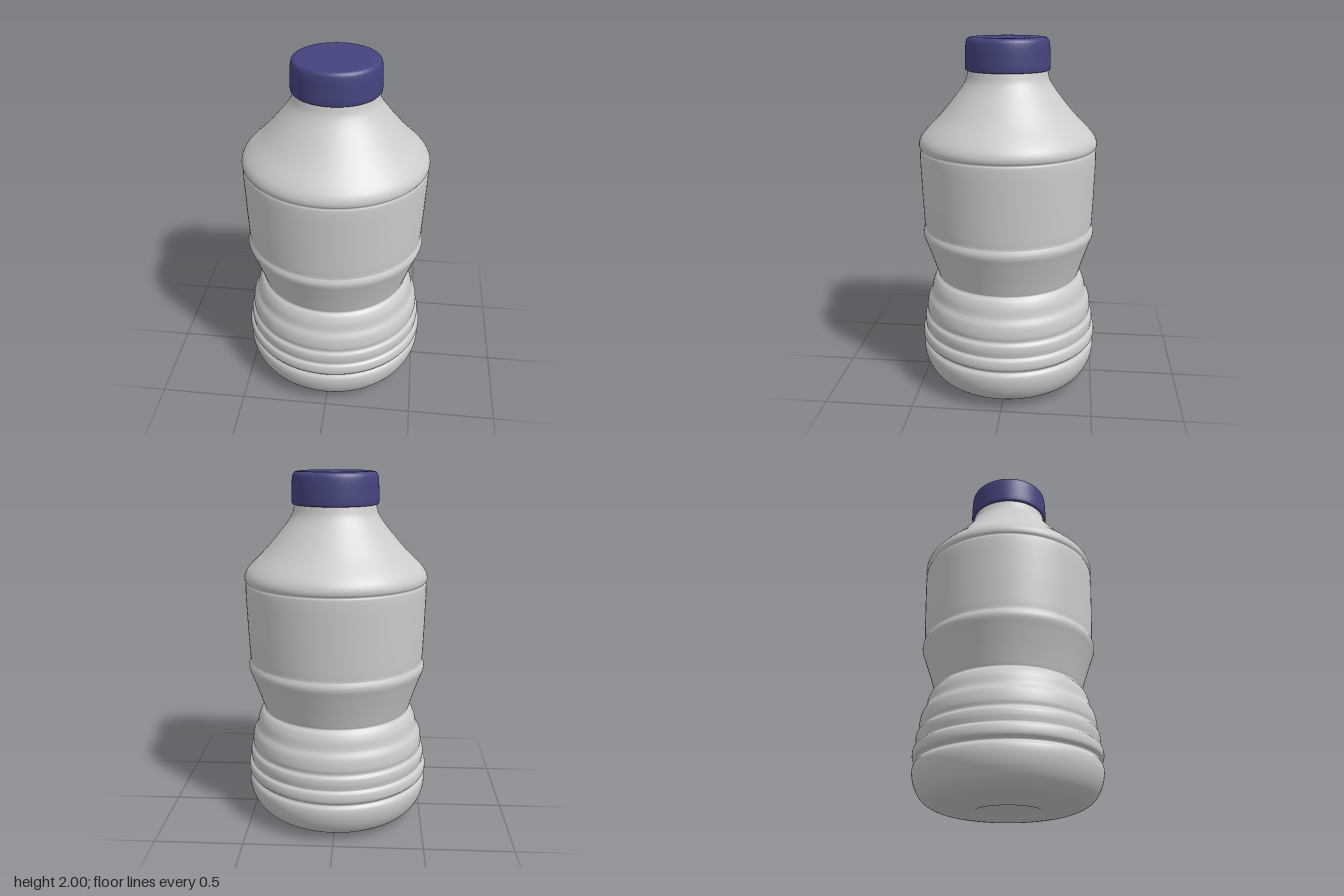
import * as THREE from 'three';

const SEGMENTS = 96;

// Lathe a smooth curve through [radius, height] points, then make it
// slightly oval and let it lean a touch, as the whole bottle does.
function turned(name, profile, divisions, material) {
  const curve = new THREE.CatmullRomCurve3(
    profile.map(([r, y]) => new THREE.Vector3(r, y, 0)), false, 'centripetal');
  const points = curve.getPoints(divisions).map(p => new THREE.Vector2(Math.max(p.x, 0), p.y));
  const geometry = new THREE.LatheGeometry(points, SEGMENTS);
  geometry.scale(1, 1, 0.968);
  const pos = geometry.attributes.position;
  for (let i = 0; i < pos.count; i++) {
    const y = pos.getY(i);
    pos.setX(i, pos.getX(i) - 0.001 + 0.006 * y);
    pos.setZ(i, pos.getZ(i) + 0.002 + 0.003 * y);
  }
  const mesh = new THREE.Mesh(geometry, material);
  mesh.name = name;
  return mesh;
}

export function createModel() {
  const group = new THREE.Group();
  group.name = 'bottle';
  const grey = new THREE.MeshStandardMaterial({ color: 0xcccccc, side: THREE.DoubleSide });
  const blue = new THREE.MeshStandardMaterial({ color: 0x44447f });

  group.add(turned('bottleBody', [
    // base with a shallow dimple, and rounded bottom edge
    [0, 0.018], [0.1, 0.018], [0.17, 0.015], [0.2, 0.006], [0.24, 0.004],
    [0.33, 0.012], [0.41, 0.03], [0.47, 0.065], [0.51, 0.125], [0.527, 0.19],
    // ribbed lower body
    [0.524, 0.23], [0.51, 0.25], [0.512, 0.257], [0.527, 0.272], [0.531, 0.295],
    [0.525, 0.325], [0.512, 0.338], [0.513, 0.35], [0.516, 0.375], [0.512, 0.405],
    [0.498, 0.424], [0.501, 0.45], [0.499, 0.48], [0.491, 0.515], [0.473, 0.548],
    [0.468, 0.565], [0.459, 0.605], [0.442, 0.64], [0.424, 0.66],
    // waist and upper rib
    [0.428, 0.675], [0.455, 0.76], [0.49, 0.86], [0.506, 0.905], [0.507, 0.925],
    [0.501, 0.943], [0.497, 0.952],
    // label panel
    [0.499, 1.0], [0.506, 1.2], [0.508, 1.39], [0.504, 1.402],
    // shoulder and neck
    [0.511, 1.415], [0.512, 1.435], [0.502, 1.462], [0.476, 1.495], [0.39, 1.58],
    [0.3, 1.685], [0.258, 1.74], [0.238, 1.775], [0.228, 1.81], [0.222, 1.84], [0.22, 1.9],
  ], 320, grey));

  group.add(turned('cap', [
    [0.2, 1.826], [0.228, 1.824], [0.236, 1.826], [0.239, 1.834], [0.239, 1.9],
    [0.235, 1.965], [0.23, 1.984], [0.22, 1.995], [0.205, 1.999], [0.1, 2], [0, 2],
  ], 90, blue));

  return group;
}
